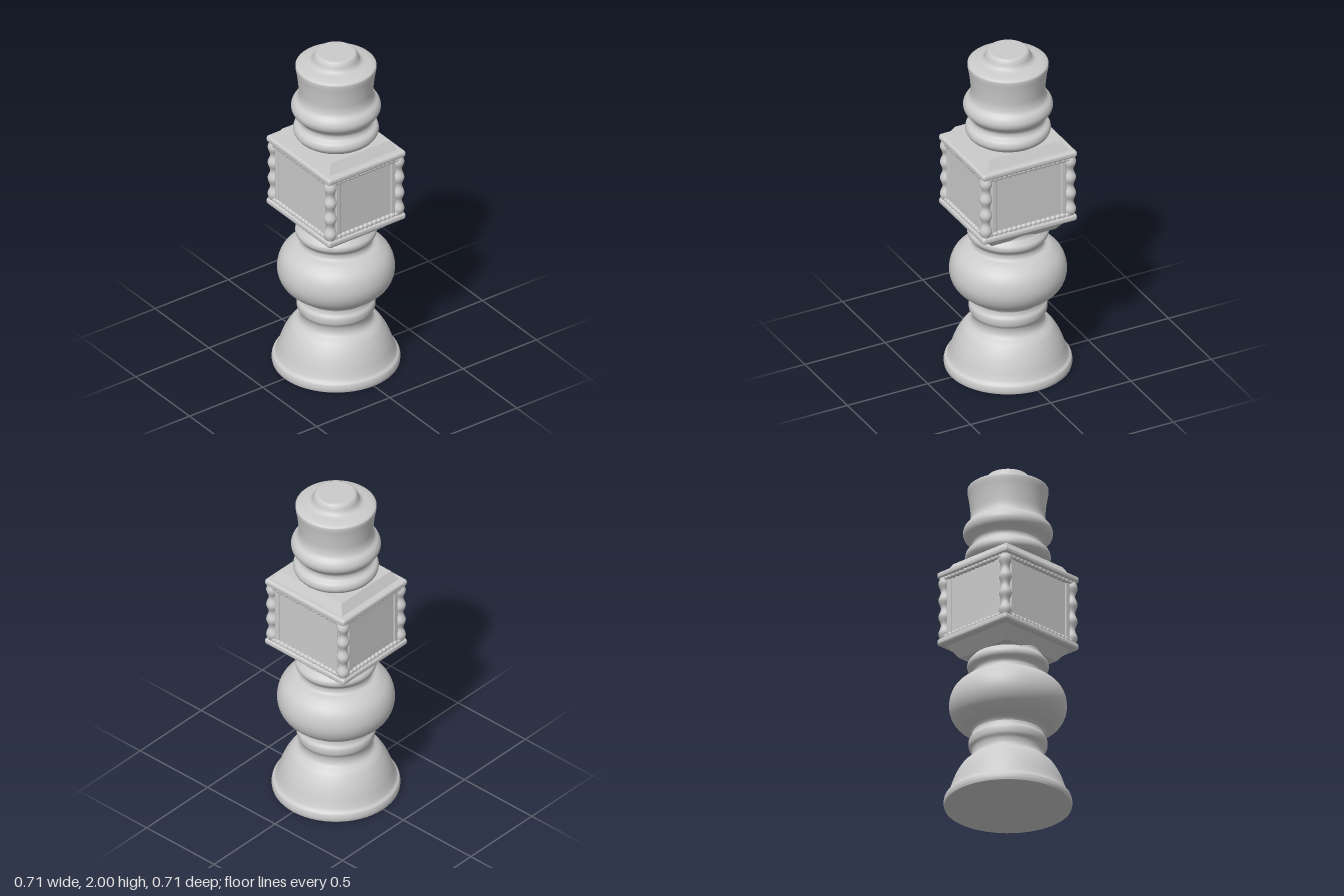
import * as THREE from 'three';
import { RoundedBoxGeometry } from 'three/addons/geometries/RoundedBoxGeometry.js';

const stone = new THREE.MeshStandardMaterial({ color: 0xcccccc });
const facetedStone = new THREE.MeshStandardMaterial({ color: 0xcccccc, flatShading: true });

// Half sizes of the square block
const HX = 0.265, HZ = 0.295, BOTTOM = 0.96, TOP = 1.405;

export function createModel() {
  const model = new THREE.Group();
  model.name = 'balusterPost';

  function add(parent, name, geometry, x = 0, y = 0, z = 0, material = stone) {
    const mesh = new THREE.Mesh(geometry, material);
    mesh.name = name;
    mesh.position.set(x, y, z);
    parent.add(mesh);
    return mesh;
  }

  // Smoothly turned section; flat discs close its ends
  function turned(name, profile) {
    const points = new THREE.SplineCurve(profile.map(([r, y]) => new THREE.Vector2(r, y)))
      .getPoints(profile.length * 5);
    const [r0, y0] = profile[0], [r1, y1] = profile[profile.length - 1];
    const ends = [new THREE.Vector2(0, y0), new THREE.Vector2(r0 - 0.002, y0)];
    const caps = [new THREE.Vector2(r1 - 0.002, y1), new THREE.Vector2(0, y1)];
    return add(model, name, new THREE.LatheGeometry([...ends, ...points, ...caps], 56));
  }

  // Bell-shaped foot with a collar above it
  turned('foot', [[0.352, 0], [0.355, 0.02], [0.35, 0.045], [0.335, 0.06], [0.322, 0.09],
    [0.305, 0.14], [0.283, 0.19], [0.255, 0.235], [0.235, 0.255], [0.21, 0.275], [0.2, 0.3],
    [0.203, 0.33], [0.216, 0.355], [0.217, 0.39], [0.203, 0.415], [0.198, 0.45]]);

  // Bulb and the ring carrying the block
  turned('bulb', [[0.198, 0.43], [0.212, 0.452], [0.255, 0.478], [0.295, 0.515], [0.318, 0.56],
    [0.325, 0.61], [0.315, 0.665], [0.29, 0.71], [0.245, 0.748], [0.205, 0.765], [0.196, 0.79],
    [0.203, 0.808], [0.222, 0.83], [0.224, 0.855], [0.208, 0.878], [0.195, 0.9], [0.195, 0.97]]);

  // Two rings and flared drum above the block
  turned('upperTurning', [[0.195, 1.4], [0.2, 1.455], [0.222, 1.475], [0.236, 1.5], [0.23, 1.53],
    [0.205, 1.55], [0.2, 1.575], [0.215, 1.598], [0.24, 1.625], [0.248, 1.655], [0.238, 1.685],
    [0.215, 1.71], [0.206, 1.745], [0.208, 1.79], [0.215, 1.85], [0.224, 1.905], [0.218, 1.922],
    [0.19, 1.932], [0.15, 1.94], [0.132, 1.955], [0.122, 1.98], [0.112, 1.996], [0.1, 2]]);

  // Four-sided tapered plinths below and above the block
  function taper(name, bottom, top, y0, y1, ratio) {
    const geometry = new THREE.CylinderGeometry(top * Math.SQRT2, bottom * Math.SQRT2, y1 - y0, 4);
    geometry.rotateY(Math.PI / 4).scale(1, 1, ratio);
    return add(model, name, geometry, 0, (y0 + y1) / 2, 0, facetedStone);
  }
  taper('lowerTaper', 0.18, 0.235, 0.89, BOTTOM + 0.01, 1.11);
  taper('upperTaper', 0.238, 0.203, TOP - 0.01, 1.46, 1.1);

  // Block core, whose sides are the recessed panels
  const block = new THREE.Group();
  block.name = 'block';
  model.add(block);
  add(block, 'panelCore', new THREE.BoxGeometry(2 * HX - 0.05, TOP - BOTTOM - 0.03, 2 * HZ - 0.05),
    0, (TOP + BOTTOM) / 2, 0);

  // Rounded rims at top and bottom
  for (const [name, y] of [['bottomRim', BOTTOM + 0.02], ['topRim', TOP - 0.02]]) {
    add(block, name, new RoundedBoxGeometry(2 * HX, 0.04, 2 * HZ, 3, 0.016), 0, y, 0);
  }

  // Corner posts with a carved, wavy outline
  const postProfile = [];
  for (let i = 0; i <= 48; i++) {
    const t = i / 48;
    postProfile.push(new THREE.Vector2(0.029 - 0.007 * Math.cos(t * Math.PI * 8),
      BOTTOM + 0.02 + t * (TOP - BOTTOM - 0.04)));
  }
  const postGeometry = new THREE.LatheGeometry(postProfile, 16);
  for (const sx of [-1, 1]) for (const sz of [-1, 1]) {
    add(block, 'cornerPost', postGeometry, sx * (HX - 0.034), 0, sz * (HZ - 0.034));
  }

  // Framing of each panel: beaded rails and slim side strips
  const bead = new THREE.SphereGeometry(0.017, 10, 8);
  bead.scale(1.15, 0.95, 0.75);
  for (let side = 0; side < 4; side++) {
    const face = new THREE.Group();
    face.name = 'panelFrame';
    face.rotation.y = side * Math.PI / 2;
    block.add(face);
    const half = side % 2 ? HZ : HX;
    const depth = (side % 2 ? HX : HZ) - 0.025;
    const count = Math.round((2 * half - 0.08) / 0.03);
    for (let i = 0; i < count; i++) {
      const x = ((i + 0.5) / count - 0.5) * (2 * half - 0.08);
      for (const y of [BOTTOM + 0.045, TOP - 0.045]) add(face, 'railBead', bead, x, y, depth + 0.005);
    }
    for (const s of [-1, 1]) {
      add(face, 'sideStrip', new RoundedBoxGeometry(0.03, TOP - BOTTOM - 0.06, 0.016, 2, 0.006),
        s * (half - 0.078), (TOP + BOTTOM) / 2, depth);
    }
  }

  return model;
}
